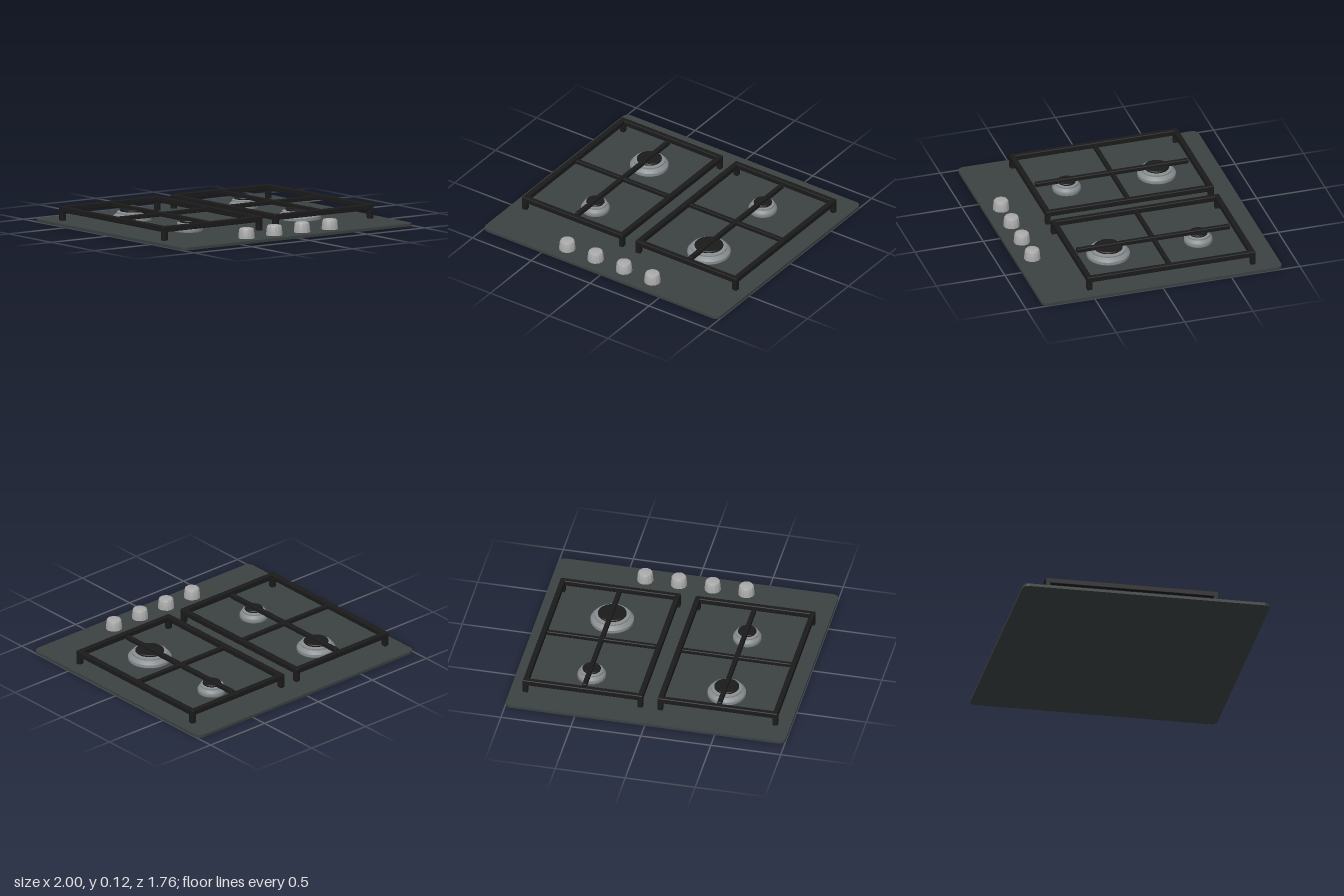
import * as THREE from 'three';
import { toCreasedNormals } from 'three/addons/utils/BufferGeometryUtils.js';
import { RoundedBoxGeometry } from 'three/addons/geometries/RoundedBoxGeometry.js';

const mat = (name, color) => new THREE.MeshStandardMaterial({ name, color });

export function createModel() {
  const plateMat = mat('dark slate glass', 0x3b4241);
  const iron = mat('black iron', 0x1b1b1b);
  const steel = mat('burner steel', 0x888d90);
  const silver = mat('knob silver', 0xa9a9a9);
  const model = new THREE.Group();
  model.name = 'gasHob';

  const add = (parent, name, geometry, material, x = 0, y = 0, z = 0) => {
    const mesh = new THREE.Mesh(geometry, material);
    mesh.name = name;
    mesh.position.set(x, y, z);
    parent.add(mesh);
    return mesh;
  };
  const lathe = (points, sides) => toCreasedNormals(
    new THREE.LatheGeometry(points.map(([r, y]) => new THREE.Vector2(r, y)), sides), 0.5);

  // Base plate with rounded corners
  const w = 1, d = 0.878, r = 0.045;
  const outline = new THREE.Shape();
  outline.absarc(w - r, d - r, r, 0, Math.PI / 2);
  outline.absarc(r - w, d - r, r, Math.PI / 2, Math.PI);
  outline.absarc(r - w, r - d, r, Math.PI, Math.PI * 1.5);
  outline.absarc(w - r, r - d, r, Math.PI * 1.5, Math.PI * 2);
  const plate = new THREE.ExtrudeGeometry(outline, { depth: 0.02, bevelEnabled: false, curveSegments: 8 });
  plate.rotateX(-Math.PI / 2);
  add(model, 'basePlate', plate, plateMat);

  // Pan supports: frame, four feet and two crossing bars
  const t = 0.037, halfX = 0.429, halfZ = 0.615;
  for (const side of [-1, 1]) {
    const grate = new THREE.Group();
    grate.name = side < 0 ? 'rightPanSupport' : 'leftPanSupport';
    grate.position.set(side * 0.482, 0, -0.09);
    model.add(grate);
    const bar = (name, sx, sy, sz, x, y, z) =>
      add(grate, name, new RoundedBoxGeometry(sx, sy, sz, 1, 0.006), iron, x, y, z);
    for (const s of [-1, 1]) {
      bar('frameSideBar', t, 0.04, halfZ * 2, s * (halfX - t / 2), 0.1, 0);
      bar('frameEndBar', halfX * 2, 0.04, t, 0, 0.1, s * (halfZ - t / 2));
      for (const q of [-1, 1])
        bar('foot', t, 0.08, t, s * (halfX - t / 2), 0.058, q * (halfZ - t / 2));
    }
    bar('longBar', 0.032, 0.032, 1.12, 0, 0.1, 0);
    bar('crossBar', 0.78, 0.03, 0.03, 0, 0.098, 0);
  }

  // Burners: stepped steel crown with a black cap
  const burners = [
    [-0.485, -0.42, 0.135, 0.087], [-0.485, 0.238, 0.1, 0.064],
    [0.48, -0.42, 0.1, 0.064], [0.48, 0.238, 0.152, 0.1],
  ];
  for (const [x, z, outer, cap] of burners) {
    const burner = new THREE.Group();
    burner.name = 'burner';
    burner.position.set(x, 0, z);
    model.add(burner);
    const shoulder = cap + (outer - cap) * 0.45;
    add(burner, 'burnerCrown', lathe([
      [outer * 0.97, 0.018], [outer, 0.025], [outer, 0.045], [outer * 0.96, 0.054],
      [shoulder, 0.068], [shoulder, 0.078], [cap * 0.95, 0.084], [0, 0.084],
    ], 40), steel);
    add(burner, 'burnerCap', lathe([
      [cap * 0.95, 0.08], [cap, 0.085], [cap, 0.092], [cap * 0.94, 0.097], [0, 0.098],
    ], 40), iron);
  }

  // Control knobs with a finely ribbed rim and domed top
  const knob = new THREE.LatheGeometry([
    [0.057, 0.018], [0.056, 0.035], [0.051, 0.082], [0.046, 0.09], [0.028, 0.094], [0, 0.096],
  ].map(([a, b]) => new THREE.Vector2(a, b)), 48);
  const p = knob.attributes.position;
  for (let i = 0; i < p.count; i++) {
    const x = p.getX(i), z = p.getZ(i);
    if (Math.hypot(x, z) < 0.048) continue;
    const k = 1 + 0.025 * Math.cos(12 * Math.atan2(z, x));
    p.setX(i, x * k);
    p.setZ(i, z * k);
  }
  knob.computeVertexNormals();
  const knobGeometry = toCreasedNormals(knob, 0.6);
  for (let i = 0; i < 4; i++)
    add(model, 'controlKnob', knobGeometry, silver, -0.364 + i * 0.241, 0, 0.755);

  return model;
}
